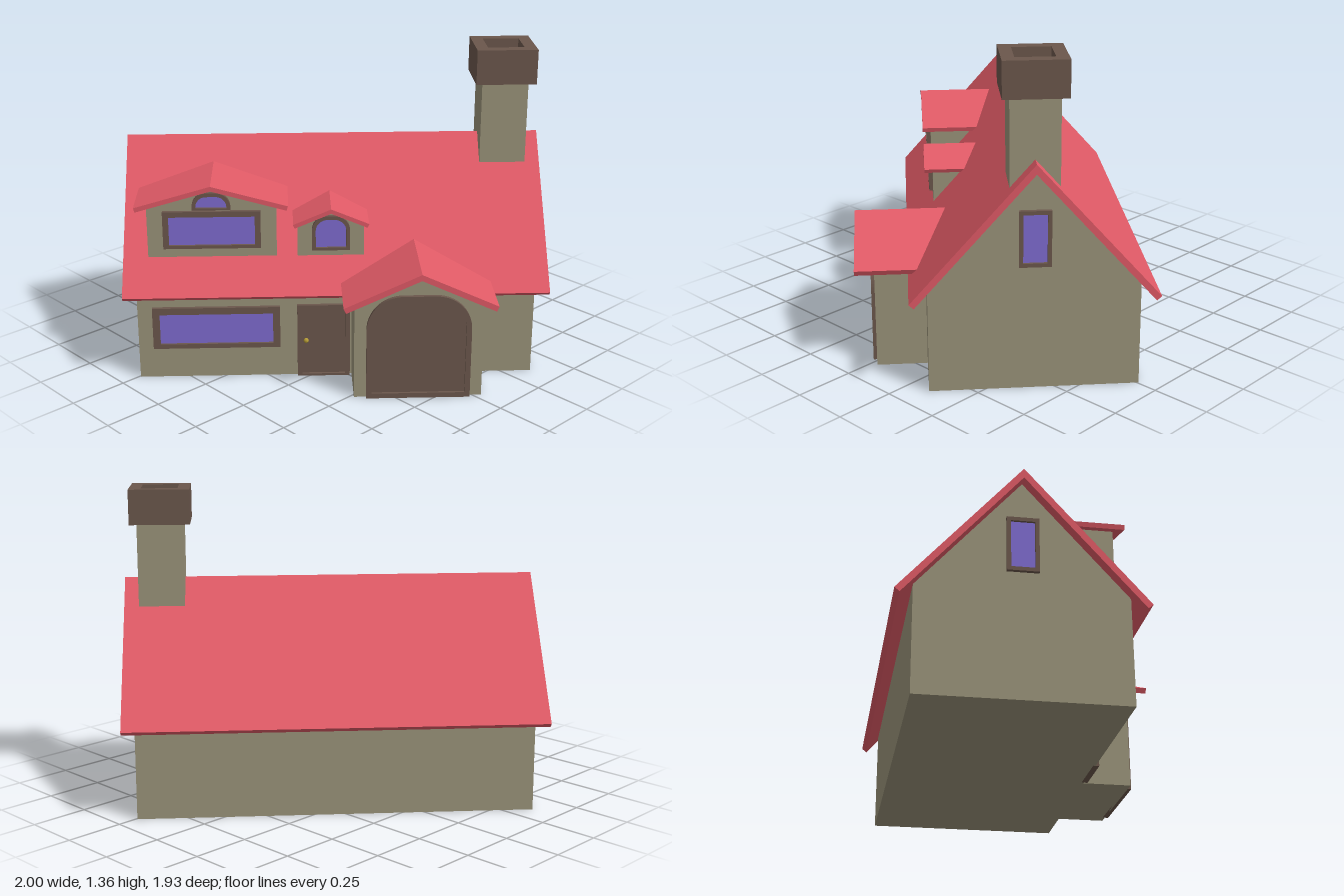
import * as THREE from 'three';

const mat = (color) => new THREE.MeshStandardMaterial({ color, flatShading: true });

export function createModel() {
  const group = new THREE.Group();
  const house = new THREE.Group();
  house.name = 'house';
  house.rotation.y = -0.726; // the house stands diagonally
  group.add(house);

  const wall = mat(0x9a937a), roofRed = mat(0xe05a66), brown = mat(0x6b574c);
  const glass = mat(0x7f6cd0), gold = mat(0xb39a35);

  const add = (name, geometry, material, parent = house) => {
    const mesh = new THREE.Mesh(geometry, material);
    mesh.name = name;
    parent.add(mesh);
    return mesh;
  };
  const extrude = (shape, z0, z1) =>
    new THREE.ExtrudeGeometry(shape, { depth: z1 - z0, bevelEnabled: false, curveSegments: 8 }).translate(0, 0, z0);
  const polygon = (pts) => new THREE.Shape(pts.map(([x, y]) => new THREE.Vector2(x, y)));

  // Gabled block: walls up to the roof underside, plus a slab roof with square-cut eaves
  function gable(name, { x = 0, half, base, roofHalf, ridge, eave, thick, wallZ, roofZ, turn = 0 }) {
    const part = new THREE.Group();
    part.name = name;
    part.position.x = x;
    part.rotation.y = turn;
    house.add(part);
    const slope = (ridge - eave) / roofHalf;
    const len = Math.hypot(1, slope);
    const under = ridge - thick * len;
    const inX = roofHalf - thick * slope / len, inY = eave - thick / len;
    const shoulder = under - slope * half + 0.004;
    add(name + 'Walls', extrude(polygon([
      [-half, base], [half, base], [half, shoulder], [0, under + 0.004], [-half, shoulder],
    ]), ...wallZ), wall, part);
    add(name + 'Roof', extrude(polygon([
      [-roofHalf, eave], [-inX, inY], [0, under], [inX, inY], [roofHalf, eave], [0, ridge],
    ]), ...roofZ), roofRed, part);
  }

  gable('main', { half: 0.422, base: 0, roofHalf: 0.495, ridge: 0.96, eave: 0.402, thick: 0.0265,
    wallZ: [-0.843, 0.843], roofZ: [-0.895, 0.895], turn: Math.PI / 2 });
  gable('porch', { x: 0.332, half: 0.267, base: 0, roofHalf: 0.315, ridge: 0.587, eave: 0.443, thick: 0.024,
    wallZ: [0.3, 0.631], roofZ: [0.25, 0.71] });
  gable('wideDormer', { x: -0.52, half: 0.27, base: 0.537, roofHalf: 0.319, ridge: 0.863, eave: 0.773, thick: 0.02,
    wallZ: [0.06, 0.374], roofZ: [0.05, 0.411] });
  gable('smallDormer', { x: -0.022, half: 0.14, base: 0.537, roofHalf: 0.159, ridge: 0.757, eave: 0.69, thick: 0.018,
    wallZ: [0.1, 0.375], roofZ: [0.12, 0.412] });

  // Outline with optional rounded upper corners
  function outline(half, y0, y1, r) {
    const s = new THREE.Shape();
    s.moveTo(-half, y0);
    s.lineTo(half, y0);
    if (r > 0) {
      s.lineTo(half, y1 - r);
      s.absarc(half - r, y1 - r, r, 0, Math.PI / 2);
      s.absarc(-half + r, y1 - r, r, Math.PI / 2, Math.PI);
    } else {
      s.lineTo(half, y1);
      s.lineTo(-half, y1);
    }
    s.closePath();
    return s;
  }

  // Framed window or door set on a wall
  function opening(name, { x, z, half, y0, y1, r = 0, rim = 0.022, sill = rim, fill = glass, turn = 0 }) {
    const part = new THREE.Group();
    part.name = name;
    part.position.set(x, 0, z);
    part.rotation.y = turn;
    house.add(part);
    const inner = [half - rim, y0 + sill, y1 - rim, Math.max(0, r - rim)];
    const frame = outline(half, y0, y1, r);
    frame.holes.push(outline(...inner));
    add(name + 'Frame', extrude(frame, -0.01, 0.016), brown, part);
    add(name + 'Panel', extrude(outline(...inner), -0.01, 0.005), fill, part);
    return part;
  }

  opening('frontWindow', { x: -0.51, z: 0.422, half: 0.27, y0: 0.14, y1: 0.328, rim: 0.03, sill: 0.02 });
  opening('wideDormerWindow', { x: -0.52, z: 0.374, half: 0.204, y0: 0.58, y1: 0.745, rim: 0.024, sill: 0.014 });
  opening('roundDormerWindow', { x: -0.52, z: 0.374, half: 0.08, y0: 0.752, y1: 0.826, r: 0.06, rim: 0.016, sill: 0.008 });
  opening('smallDormerWindow', { x: -0.022, z: 0.375, half: 0.08, y0: 0.565, y1: 0.718, r: 0.065, rim: 0.016, sill: 0.012 });
  for (const side of [-1, 1]) {
    opening('gableWindow', { x: side * 0.843, z: 0, half: 0.064, y0: 0.527, y1: 0.76, rim: 0.016, turn: side * Math.PI / 2 });
  }
  opening('porchDoor', { x: 0.332, z: 0.631, half: 0.217, y0: 0, y1: 0.463, r: 0.15, rim: 0.022, fill: brown });

  // Side door tucked beside the porch
  const door = opening('sideDoor', { x: -0.055, z: 0.422, half: 0.112, y0: 0, y1: 0.333, rim: 0.02, sill: 0.01, fill: brown });
  const knob = add('doorKnob', new THREE.SphereGeometry(0.011, 10, 8), gold, door);
  knob.position.set(-0.075, 0.17, 0.018);

  // Chimney stack with an open cap
  const chimney = new THREE.Group();
  chimney.name = 'chimney';
  chimney.position.set(0.733, 0, 0);
  house.add(chimney);
  add('chimneyStack', new THREE.BoxGeometry(0.198, 0.365, 0.198).translate(0, 1.03, 0), wall, chimney);
  const cap = outline(0.129, -0.129, 0.129, 0);
  cap.holes.push(outline(0.078, -0.078, 0.078, 0));
  add('chimneyCap', extrude(cap, 1.205, 1.355).rotateX(-Math.PI / 2), brown, chimney);

  return group;
}
